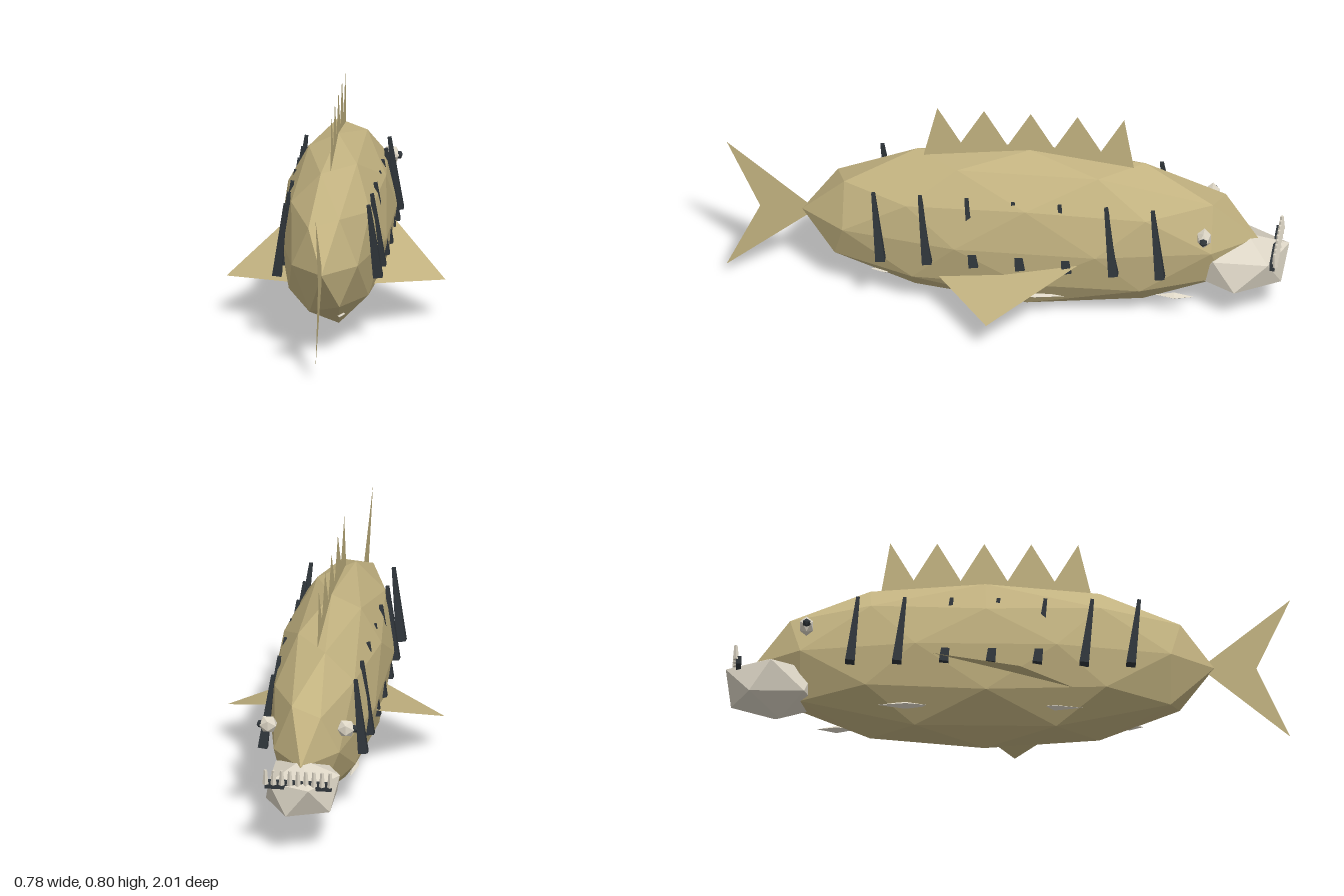
import * as THREE from 'three';

const mat = (color, side = THREE.FrontSide) =>
  new THREE.MeshStandardMaterial({ color, flatShading: true, side });
const skin = mat(0xc2b280);
const finSkin = mat(0xc2b280, THREE.DoubleSide);
const bone = mat(0xddd6c6);
const dark = mat(0x2f353a);

export function createModel() {
  const model = new THREE.Group();

  const add = (name, geometry, material, x = 0, y = 0, z = 0) => {
    const mesh = new THREE.Mesh(geometry, material);
    mesh.name = name;
    mesh.position.set(x, y, z);
    model.add(mesh);
    return mesh;
  };

  // Faceted ball with a corner at the top, stretched to the given radii
  const facetBall = (detail, rx, ry, rz) =>
    new THREE.IcosahedronGeometry(1, detail)
      .rotateZ(Math.atan(2 / (1 + Math.sqrt(5))))
      .scale(rx, ry, rz);

  // Flat fin in the middle plane, outlined by [z, y] points
  const flatFin = (name, points) => {
    const shape = new THREE.Shape(points.map(([z, y]) => new THREE.Vector2(-z, y)));
    add(name, new THREE.ShapeGeometry(shape).rotateY(Math.PI / 2), finSkin);
  };

  add('body', facetBall(1, 0.2, 0.32, 0.815), skin, 0, 0.32, -0.085);

  // Lower jaw, its top leaning slightly forward
  const jaw = facetBall(0, 0.15, 0.115, 0.186);
  jaw.applyMatrix4(new THREE.Matrix4().makeShear(0, 0, 0, -0.2, 0, 0));
  const p = jaw.attributes.position;
  for (let i = 0; i < p.count; i++) {
    if (Math.abs(p.getY(i)) < 0.1) p.setY(i, p.getY(i) * 1.08);
  }
  add('jaw', jaw, bone, 0, 0.222, -0.838);

  // Mouth strip with a row of teeth
  add('mouth', new THREE.BoxGeometry(0.24, 0.03, 0.018), dark, 0, 0.28, -0.962);
  for (let i = 0; i < 9; i++) {
    add('tooth', new THREE.CylinderGeometry(0.006, 0.011, 0.055, 4), bone,
      -0.116 + i * 0.029, 0.31, -0.972);
  }

  // Dorsal fin with five spikes
  const dorsal = [[0.295, 0.5], [0.295, 0.594]];
  for (let i = 0; i < 5; i++) {
    dorsal.push([0.247 - i * 0.167, 0.798]);
    if (i < 4) dorsal.push([0.163 - i * 0.167, 0.653]);
  }
  dorsal.push([-0.455, 0.595], [-0.455, 0.5]);
  flatFin('dorsalFin', dorsal);

  // Forked tail
  flatFin('tailFin', [[0.68, 0.32], [1, 0.59], [0.88, 0.32], [1, 0.055]]);

  const up = new THREE.Vector3(0, 1, 0);
  for (const s of [1, -1]) {
    // Triangular side fin
    const fin = new THREE.BufferGeometry();
    fin.setAttribute('position', new THREE.Float32BufferAttribute([
      s * 0.18, 0.287, -0.285, s * 0.15, 0.17, 0.225, s * 0.39, 0.14, 0.03], 3));
    fin.computeVertexNormals();
    add('sideFin', fin, finSkin);

    // Eye and pupil
    add('eye', new THREE.IcosahedronGeometry(0.035, 0).scale(1, 1, 0.8), bone, s * 0.14, 0.405, -0.722);
    add('pupil', new THREE.IcosahedronGeometry(0.016, 0), dark, s * 0.167, 0.405, -0.722);

    // Tapered flank stripes, half sunk into the body
    for (let i = 0; i < 7; i++) {
      const z = 0.43 - i * 0.1665;
      const low = new THREE.Vector3(s * 0.18, 0.247, z);
      const high = new THREE.Vector3(s * 0.148, 0.515, z + 0.03);
      const axis = high.clone().sub(low);
      const stripe = add('stripe',
        new THREE.CylinderGeometry(0.009, 0.024, axis.length(), 4).rotateY(Math.PI / 4), dark);
      stripe.position.copy(low).add(high).multiplyScalar(0.5);
      stripe.quaternion.setFromUnitVectors(up, axis.normalize());
    }
  }

  // Pale slivers along the belly, alternating between the flanks
  const slivers = [[0.045, 0.43, 0.05], [-0.112, 0.16, 0.1], [0.137, -0.115, 0.108],
    [-0.12, -0.37, 0.1], [0.09, -0.61, 0.07]];
  for (const [x, z, half] of slivers) {
    add('bellySliver', new THREE.OctahedronGeometry(1).scale(0.018, 0.014, half), bone, x, 0.108, z);
  }

  return model;
}
